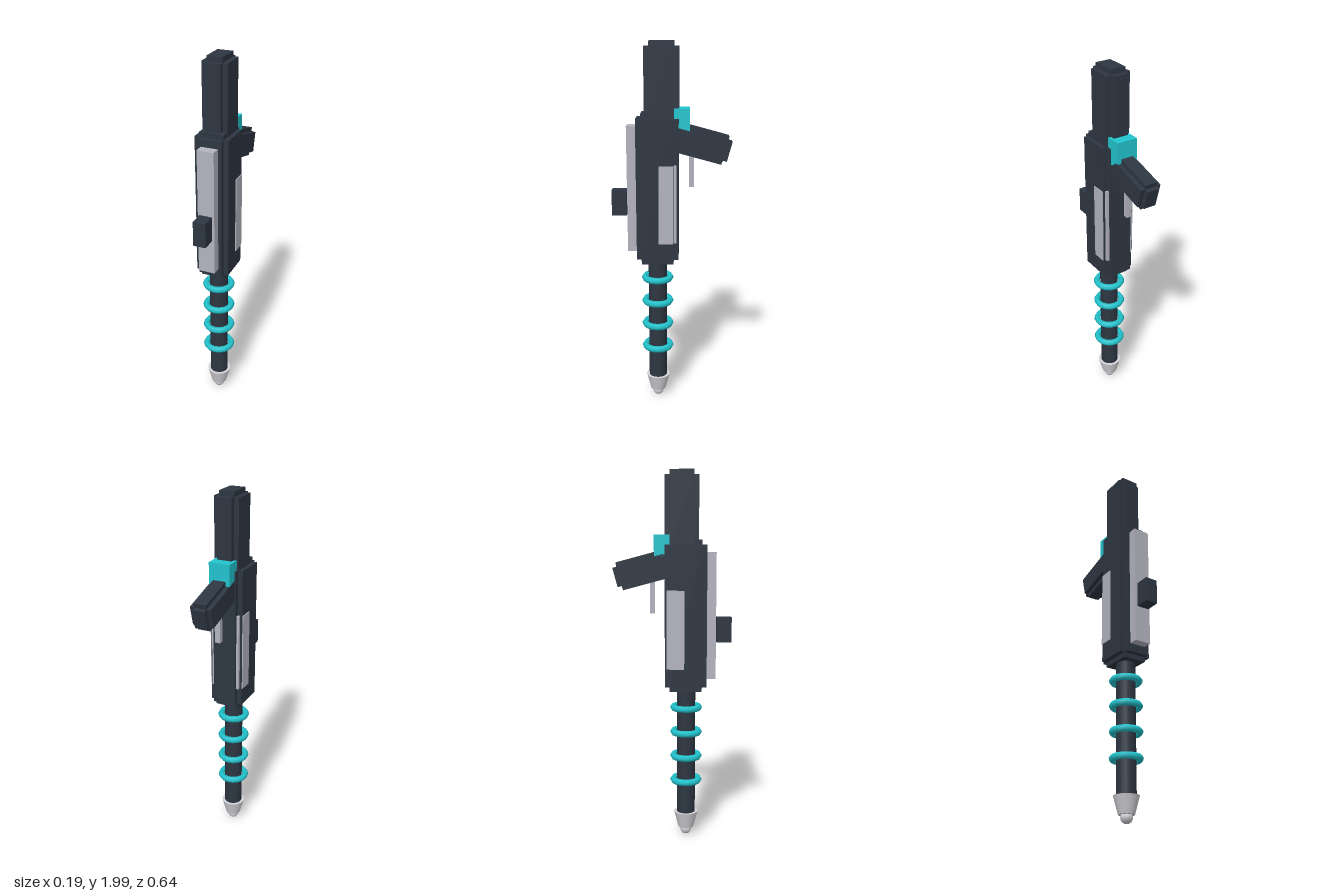
import * as THREE from 'three';

export function createModel() {
  const model = new THREE.Group();
  model.name = 'toyBlaster';

  const mat = (name, color) => {
    const m = new THREE.MeshStandardMaterial({ color });
    m.name = name;
    return m;
  };
  const dark = mat('darkSlate', 0x2d3642);
  const teal = mat('teal', 0x22c4ce);
  const grey = mat('panelGrey', 0xb4b4c0);
  const silver = mat('silver', 0xd2d2d8);

  const add = (name, geometry, material, x, y, z, parent = model) => {
    const mesh = new THREE.Mesh(geometry, material);
    mesh.name = name;
    mesh.position.set(x, y, z);
    parent.add(mesh);
    return mesh;
  };

  // box given by its limits on each axis
  const span = (name, material, [x0, x1], [y0, y1], [z0, z1], parent = model) =>
    add(name, new THREE.BoxGeometry(x1 - x0, y1 - y0, z1 - z0), material,
      (x0 + x1) / 2, (y0 + y1) / 2, (z0 + z1) / 2, parent);

  // block with stepped edges: three crossing boxes, each full size on one axis pair
  const steppedBlock = (name, material, size, step, x, y, z) => {
    const group = new THREE.Group();
    group.name = name;
    group.position.set(x, y, z);
    ['Width', 'Height', 'Depth'].forEach((label, axis) => {
      const s = size.map((v, i) => (i === axis ? v : v - 2 * step));
      add(name + label, new THREE.BoxGeometry(...s), material, 0, 0, 0, group);
    });
    model.add(group);
    return group;
  };

  // receiver and stock
  steppedBlock('body', dark, [0.18, 0.81, 0.224], 0.026, 0, 1.235, 0.075);
  steppedBlock('stock', dark, [0.134, 0.42, 0.181], 0.026, 0, 1.79, 0.0525);

  // tilted grip, its joint and the trigger
  const grip = steppedBlock('grip', dark, [0.114, 0.152, 0.32], 0.023, 0, 1.483, -0.147);
  grip.rotation.x = -Math.PI / 12;
  span('gripJoint', teal, [-0.057, 0.057], [1.53, 1.665], [-0.094, -0.01]);
  span('trigger', grey, [-0.015, 0.015], [1.25, 1.45], [-0.117, -0.091]);

  // front rail and its sight block
  span('frontRail', grey, [-0.045, 0.045], [0.9, 1.575], [0.18, 0.236]);
  span('sightBlock', dark, [-0.034, 0.034], [1.095, 1.23], [0.24, 0.32]);

  // side panels wrap over the stepped rear edge
  for (const [side, s] of [['left', 1], ['right', -1]]) {
    const range = (a, b) => (s > 0 ? [a, b] : [-b, -a]);
    span(side + 'Panel', grey, range(0.06, 0.095), [0.955, 1.375], [-0.01, 0.067]);
    span(side + 'PanelEdge', grey, range(0.05, 0.078), [0.955, 1.375], [-0.027, 0.05]);
  }

  // barrel with coil rings
  const axisZ = 0.078;
  add('barrel', new THREE.CylinderGeometry(0.05, 0.05, 0.72, 20), dark, 0, 0.49, axisZ);
  [0.325, 0.462, 0.598, 0.735].forEach((y, i) => {
    const ring = add('coilRing' + (i + 1), new THREE.TorusGeometry(0.07, 0.018, 6, 16), teal, 0, y, axisZ);
    ring.rotation.x = Math.PI / 2;
  });

  // muzzle cone and ball tip
  add('muzzleCone', new THREE.CylinderGeometry(0.066, 0.042, 0.09, 16), silver, 0, 0.097, axisZ);
  add('muzzleTip', new THREE.SphereGeometry(0.031, 12, 8), silver, 0, 0.039, axisZ);

  return model;
}
